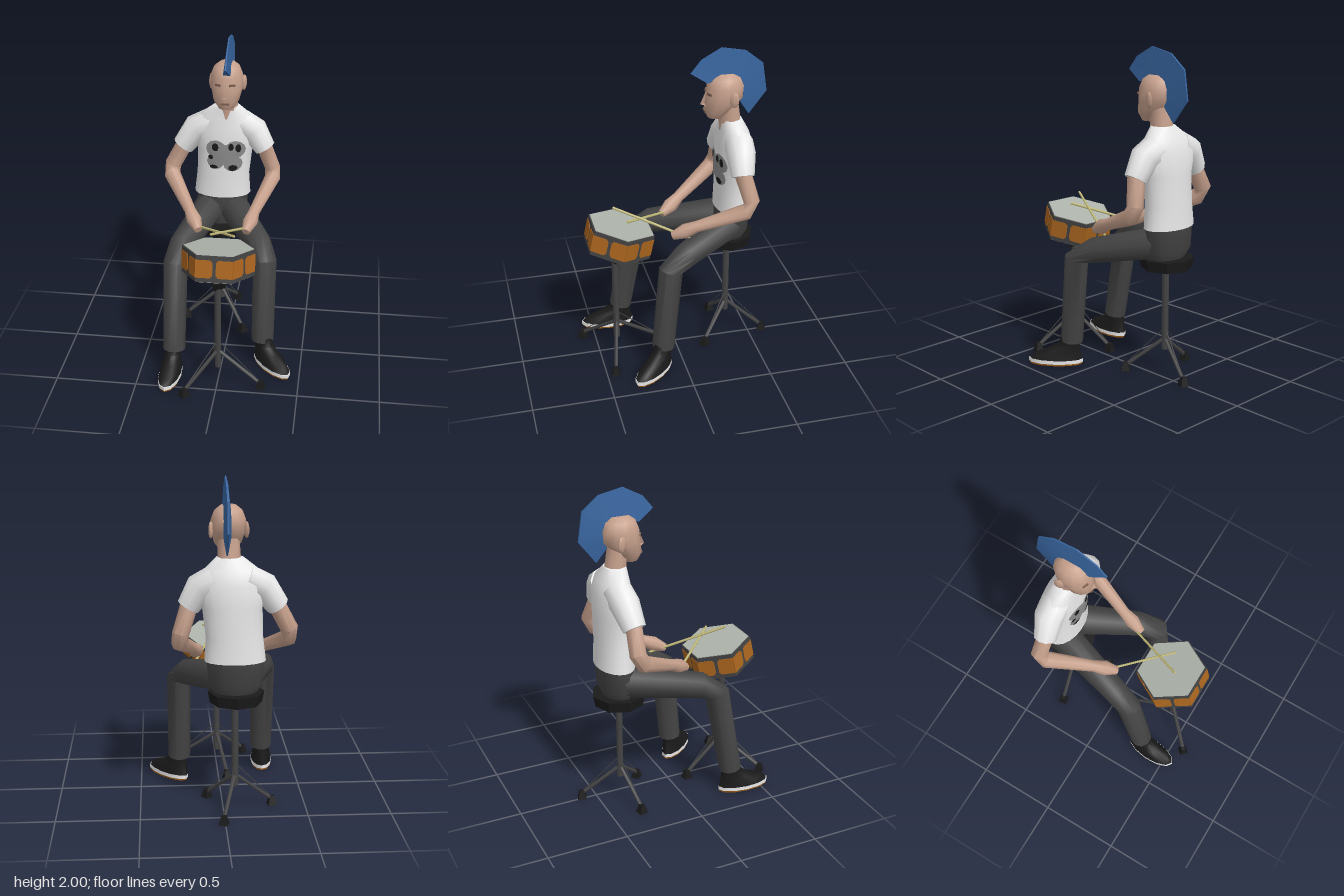
import * as THREE from 'three';
import { toCreasedNormals } from 'three/addons/utils/BufferGeometryUtils.js';

const V = (x, y, z) => new THREE.Vector3(x, y, z);

export function createModel() {
  const root = new THREE.Group();
  const mat = (name, color) => {
    const m = new THREE.MeshStandardMaterial({ color });
    m.name = name;
    return m;
  };
  const skin = mat('skin', 0xc6a08c), blue = mat('blue hair', 0x38659f), white = mat('white cloth', 0xebebeb);
  const grey = mat('dark grey', 0x444444), black = mat('black', 0x1a1a1a), orange = mat('orange wood', 0xac661f);
  const headSkin = mat('drum skin', 0xadb3aa), wood = mat('stick wood', 0xc2ba7a);
  const printGrey = mat('print grey', 0x8c8c8c), brown = mat('face brown', 0x7c5f50);

  const add = (name, geo, material, parent = root) => {
    const m = new THREE.Mesh(geo, material);
    m.name = name;
    parent.add(m);
    return m;
  };
  const group = (name, parent = root) => {
    const g = new THREE.Group();
    g.name = name;
    parent.add(g);
    return g;
  };

  // Closed skin over rings that run counterclockwise about their direction of travel
  const loft = (rings, crease = 0.9) => {
    const n = rings[0].length, pos = [], idx = [];
    const centre = r => r.reduce((s, p) => s.add(p), V(0, 0, 0)).divideScalar(n);
    [...rings.flat(), centre(rings[0]), centre(rings.at(-1))].forEach(p => pos.push(p.x, p.y, p.z));
    const last = (rings.length - 1) * n, c0 = last + n;
    for (let j = 0; j < n; j++) {
      const k = (j + 1) % n;
      for (let i = 0; i < last; i += n) idx.push(i + j, i + k, i + n + k, i + j, i + n + k, i + n + j);
      idx.push(c0, k, j, c0 + 1, last + j, last + k);
    }
    const g = new THREE.BufferGeometry();
    g.setAttribute('position', new THREE.Float32BufferAttribute(pos, 3));
    g.setIndex(idx);
    return toCreasedNormals(g, crease);
  };
  // Round limb along [x, y, z, radius] points
  const limb = (pts, sides = 8) => loft(pts.map((p, i) => {
    const a = pts[Math.max(i - 1, 0)], b = pts[Math.min(i + 1, pts.length - 1)];
    const d = V(b[0] - a[0], b[1] - a[1], b[2] - a[2]).normalize();
    const u = V(1, 0, 0).addScaledVector(d, -d.x).normalize(), v = d.clone().cross(u);
    return Array.from({ length: sides }, (_, j) => {
      const t = j / sides * Math.PI * 2;
      return V(p[0], p[1], p[2]).addScaledVector(u, p[3] * Math.cos(t)).addScaledVector(v, p[3] * Math.sin(t));
    });
  }));
  // Upright body from [y, cx, cz, rx, rz] ellipses
  const stack = (rows, sides) => loft(rows.map(([y, cx, cz, rx, rz]) =>
    Array.from({ length: sides }, (_, j) => {
      const t = j / sides * Math.PI * 2;
      return V(cx + rx * Math.sin(t), y, cz + rz * Math.cos(t));
    })));
  const rod = (name, a, b, r, material, parent = root, sides = 6) => {
    const d = b.clone().sub(a);
    const m = add(name, new THREE.CylinderGeometry(r, r, d.length(), sides), material, parent);
    m.position.copy(a).addScaledVector(d, 0.5);
    m.quaternion.setFromUnitVectors(V(0, 1, 0), d.normalize());
    return m;
  };

  // Head, face and neck
  const head = group('head');
  add('skull', stack([
    [1.565, -0.03, -0.255, 0.045, 0.045], [1.615, -0.03, -0.27, 0.08, 0.085], [1.69, -0.03, -0.31, 0.1, 0.115],
    [1.76, -0.03, -0.315, 0.1, 0.115], [1.81, -0.03, -0.315, 0.08, 0.095], [1.838, -0.03, -0.315, 0.045, 0.055]
  ], 12), skin, head);
  add('neck', limb([[-0.035, 1.48, -0.355, 0.07], [-0.03, 1.65, -0.335, 0.063]]), skin, head);
  add('nose', loft([[V(-0.055, 1.645, -0.2), V(-0.03, 1.652, -0.163), V(-0.005, 1.645, -0.2), V(-0.03, 1.645, -0.23)].reverse(),
    [V(-0.038, 1.73, -0.21), V(-0.03, 1.73, -0.196), V(-0.022, 1.73, -0.21), V(-0.03, 1.73, -0.23)].reverse()], 0.2), skin, head);
  for (const s of [-1, 1]) {
    const ear = add('ear', new THREE.SphereGeometry(1, 6, 5), skin, head);
    ear.scale.set(0.014, 0.05, 0.032);
    ear.position.set(-0.03 + s * 0.102, 1.7, -0.345);
    ear.rotation.y = s * -0.3;
    const eye = add('eye', new THREE.BoxGeometry(0.036, 0.013, 0.008), brown, head);
    eye.position.set(-0.03 + s * 0.044, 1.725, -0.207);
    eye.rotation.y = s * 0.4;
  }
  add('mouth', new THREE.BoxGeometry(0.05, 0.012, 0.009), brown, head).position.set(-0.03, 1.61, -0.19);

  // Mohawk: [inner z, inner y, outer z, outer y, outer half width]
  add('mohawk', loft([
    [-0.2, 1.79, -0.1, 1.855, 0.004], [-0.23, 1.8, -0.165, 1.935, 0.004], [-0.3, 1.81, -0.286, 2, 0.004],
    [-0.37, 1.81, -0.435, 1.97, 0.006], [-0.41, 1.77, -0.54, 1.885, 0.006], [-0.42, 1.7, -0.567, 1.71, 0.005],
    [-0.4, 1.66, -0.46, 1.57, 0.004]
  ].map(([zi, yi, zo, yo, t]) => [
    V(-0.015 - t, yo, zo), V(-0.015 + t, yo, zo), V(0.003, yi, zi), V(-0.042, yi, zi)
  ]), 0.6), blue);

  // Shirt
  const shirt = group('shirt');
  const torso = [
    [0.94, -0.067, -0.385, 0.18, 0.115], [1.08, -0.063, -0.383, 0.167, 0.11], [1.26, -0.05, -0.38, 0.175, 0.112],
    [1.39, -0.048, -0.38, 0.21, 0.108], [1.47, -0.045, -0.375, 0.17, 0.088], [1.545, -0.037, -0.355, 0.08, 0.066]
  ];
  add('shirtBody', stack(torso, 20), white, shirt);
  add('rightSleeve', limb([[-0.13, 1.42, -0.38, 0.09], [-0.23, 1.375, -0.375, 0.088], [-0.317, 1.255, -0.355, 0.069]], 10), white, shirt);
  add('leftSleeve', limb([[0.05, 1.42, -0.38, 0.09], [0.135, 1.375, -0.375, 0.088], [0.203, 1.26, -0.37, 0.069]], 10), white, shirt);

  // Chest print: thin patches bent onto the shirt front
  const chestZ = (x, y) => {
    const i = torso.findIndex(r => r[0] > y), a = torso[i - 1], b = torso[i];
    const r = a.map((v, k) => v + (b[k] - v) * (y - a[0]) / (b[0] - a[0]));
    return r[2] + r[4] * Math.sqrt(Math.max(0, 1 - ((x - r[1]) / r[3]) ** 2));
  };
  const patch = (name, x, y, rx, ry, lift, material, sides) => {
    const g = new THREE.RingGeometry(0.01, 1, sides, 6), p = g.attributes.position;
    for (let i = 0; i < p.count; i++) {
      const px = x + p.getX(i) * rx, py = y + p.getY(i) * ry;
      p.setXYZ(i, px, py, chestZ(px, py) + lift);
    }
    g.computeVertexNormals();
    add(name, g, material, shirt);
  };
  for (const [x, y, rx, ry] of [[-0.095, 1.275, 0.065, 0.06], [0.025, 1.275, 0.065, 0.06], [-0.1, 1.19, 0.055, 0.05], [0.01, 1.18, 0.06, 0.055], [-0.04, 1.24, 0.06, 0.07]])
    patch('printPatch', x, y, rx, ry, 0.003 + x * 0.005, printGrey, 12);
  for (const [x, y, rx, ry] of [[-0.1, 1.29, 0.022, 0.028], [0.0, 1.295, 0.018, 0.025], [0.045, 1.285, 0.018, 0.03], [-0.13, 1.22, 0.017, 0.016], [-0.11, 1.155, 0.028, 0.014], [0.01, 1.15, 0.03, 0.022]])
    patch('printSpot', x, y, rx, ry, 0.006, black, 7);

  // Arms and hands
  add('rightArm', limb([[-0.3, 1.28, -0.355, 0.052], [-0.385, 1.12, -0.365, 0.052], [-0.385, 1.06, -0.33, 0.052],
    [-0.235, 0.935, -0.08, 0.036], [-0.2, 0.9, -0.02, 0.047], [-0.165, 0.865, 0.045, 0.026]]), skin);
  add('leftArm', limb([[0.195, 1.28, -0.37, 0.052], [0.25, 1.11, -0.415, 0.05], [0.255, 1.05, -0.385, 0.05],
    [0.165, 0.935, -0.1, 0.036], [0.15, 0.905, -0.03, 0.047], [0.13, 0.87, 0.045, 0.026]]), skin);
  rod('rightStick', V(-0.235, 0.85, -0.06), V(0.09, 0.98, 0.315), 0.008, wood);
  rod('leftStick', V(0.165, 0.835, -0.1), V(-0.04, 1.02, 0.38), 0.008, wood);

  // Trousers
  const trousers = group('trousers');
  add('hips', stack([[0.745, -0.07, -0.37, 0.13, 0.09], [0.8, -0.07, -0.375, 0.165, 0.11], [0.96, -0.067, -0.385, 0.168, 0.108]], 14), grey, trousers);
  add('rightLeg', limb([[-0.14, 0.845, -0.36, 0.1], [-0.265, 0.775, 0.1, 0.08], [-0.285, 0.715, 0.2, 0.076],
    [-0.288, 0.155, 0.305, 0.07]], 10), grey, trousers);
  add('leftLeg', limb([[0, 0.845, -0.36, 0.1], [0.205, 0.765, -0.02, 0.08], [0.253, 0.705, 0.085, 0.074],
    [0.253, 0.155, 0.135, 0.07]], 10), grey, trousers);

  // Shoes, built pointing forward and then turned
  for (const [name, x, z, yaw] of [['rightShoe', -0.295, 0.305, -0.06], ['leftShoe', 0.262, 0.145, 0.72]]) {
    const shoe = group(name);
    add('sole', stack([[0, 0, 0.09, 0.064, 0.165], [0.012, 0, 0.09, 0.068, 0.17]], 12), orange, shoe);
    add('rubberEdge', stack([[0.012, 0, 0.09, 0.069, 0.171], [0.035, 0, 0.09, 0.069, 0.171]], 12), white, shoe);
    add('upper', stack([[0.035, 0, 0.088, 0.068, 0.168], [0.065, 0, 0.075, 0.062, 0.148], [0.1, 0, 0.035, 0.054, 0.1],
      [0.135, 0, 0.005, 0.05, 0.065], [0.19, 0, 0, 0.048, 0.055]], 12), black, shoe);
    shoe.position.set(x, 0, z);
    shoe.rotation.y = yaw;
  }

  // Three-legged stand shared by stool and drum
  const tripod = (name, x, z, bottom, top, radius, feet) => {
    const g = group(name);
    rod('column', V(x, bottom, z), V(x, top, z), radius, grey, g, 8);
    for (const [fx, fz] of feet) {
      rod('standLeg', V(x, 0.22, z), V(fx, 0.035, fz), 0.012, grey, g);
      rod('brace', V(x, 0.29, z), V(fx, 0.045, fz), 0.003, grey, g, 4);
      const pad = add('rubberFoot', new THREE.CylinderGeometry(0.018, 0.038, 0.055, 4).toNonIndexed(), black, g);
      pad.geometry.computeVertexNormals();
      pad.position.set(fx, 0.0275, fz);
      pad.rotation.y = Math.atan2(fx - x, fz - z) + Math.PI / 4;
    }
    return g;
  };
  const stool = tripod('stool', -0.07, -0.36, 0.15, 0.69, 0.021, [[0.01, -0.59], [0.09, -0.18], [-0.3, -0.315]]);
  const seat = add('seat', toCreasedNormals(new THREE.CylinderGeometry(0.168, 0.155, 0.068, 8), 0.3), black, stool);
  seat.position.set(-0.075, 0.711, -0.36);
  const stand = tripod('drumStand', 0, 0.385, 0.1, 0.7, 0.02, [[-0.185, 0.58], [0.27, 0.445], [-0.055, 0.115]]);
  const hub = add('hub', new THREE.BoxGeometry(0.075, 0.08, 0.075), black, stand);
  hub.position.set(0, 0.71, 0.385);
  hub.rotation.set(0.5, 0.4, 0);

  // Hexagonal drum, tipped towards the player
  const drum = group('drum');
  drum.position.set(0, 0.835, 0.353);
  drum.rotation.x = -0.22;
  const hex = (r, h) => toCreasedNormals(new THREE.CylinderGeometry(r, r, h, 6, 1, false, Math.PI / 6), 0.3);
  add('shell', hex(0.218, 0.16), grey, drum);
  for (const s of [-1, 1]) add('drumHead', hex(0.21, 0.006), headSkin, drum).position.y = s * 0.081;
  for (let k = 0; k < 6; k++) {
    const side = group('drumSide', drum);
    side.rotation.y = k * Math.PI / 3;
    for (const s of [-1, 1]) {
      const outline = [[0.109, -0.054], [0.109, 0.054], [0.024, 0.054], [0.01, 0.038], [0.01, -0.038], [0.024, -0.054]];
      const shape = new THREE.Shape(outline.map(([x, y]) => new THREE.Vector2(s * x, y)));
      add('woodPanel', new THREE.ExtrudeGeometry(shape, { depth: 0.005, bevelEnabled: false }), orange, side).position.z = 0.187;
    }
  }
  // Basket arms under the drum
  for (let k = 0; k < 3; k++) {
    const a = k * Math.PI * 2 / 3 + Math.PI / 6;
    rod('basketArm', V(0, -0.125, 0.005), V(Math.sin(a) * 0.17, -0.085, Math.cos(a) * 0.17), 0.011, black, drum);
  }
  return root;
}
